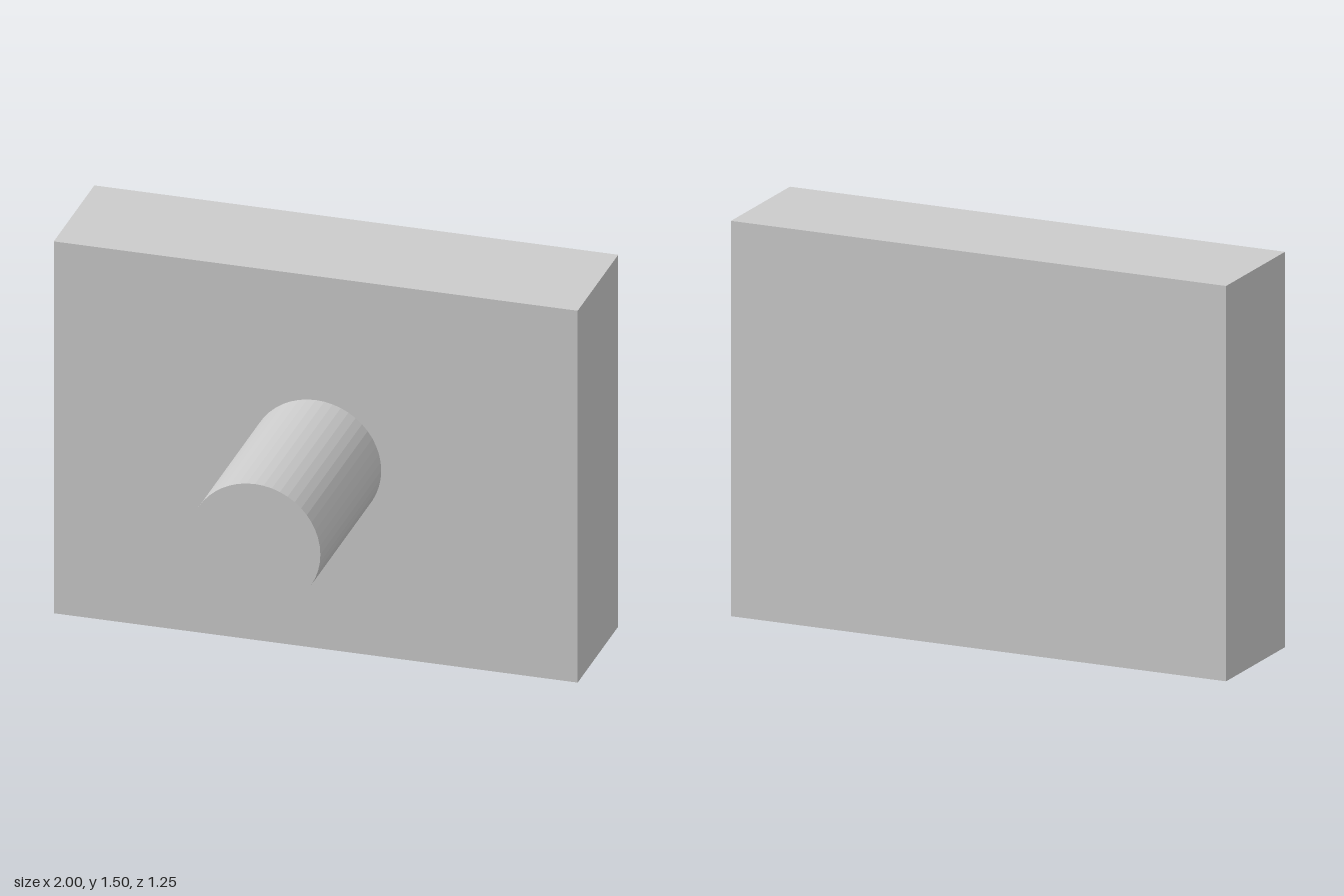
import * as THREE from 'three';

const SLAB = { width: 2, height: 1.5, depth: 0.5 };
const PEG = { radius: 0.25, length: 0.75, sides: 48 };

export function createModel() {
  const group = new THREE.Group();
  const material = new THREE.MeshStandardMaterial({ color: 0xcccccc, flatShading: true });
  const back = -(SLAB.depth + PEG.length) / 2;

  // Upright rectangular slab at the back
  const slab = new THREE.Mesh(new THREE.BoxGeometry(SLAB.width, SLAB.height, SLAB.depth), material);
  slab.name = 'slab';
  slab.position.set(0, SLAB.height / 2, back + SLAB.depth / 2);
  group.add(slab);

  // Round peg standing out from the middle of the front face
  const pegGeometry = new THREE.CylinderGeometry(PEG.radius, PEG.radius, PEG.length, PEG.sides);
  pegGeometry.rotateX(Math.PI / 2);
  const peg = new THREE.Mesh(pegGeometry, material);
  peg.name = 'peg';
  peg.position.set(0, SLAB.height / 2, back + SLAB.depth + PEG.length / 2);
  group.add(peg);

  return group;
}
